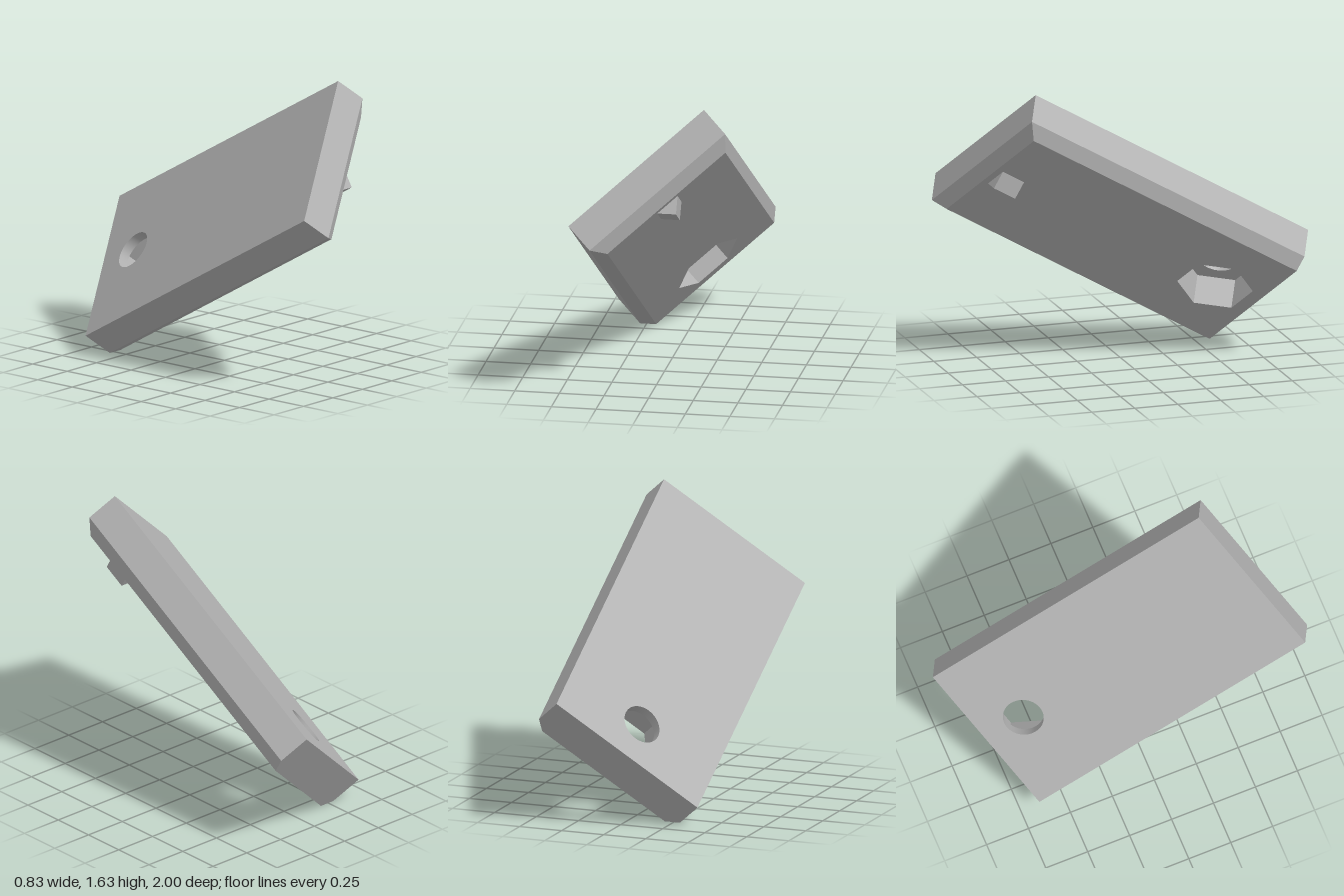
import * as THREE from 'three';
import { mergeGeometries, toCreasedNormals } from 'three/addons/utils/BufferGeometryUtils.js';

// Slab sizes: half width, half length, and depths measured from the round-hole side
const HW = 0.493, HL = 0.915, FLOOR = 0.058, SHOULDER = 0.184, THICK = 0.248, CHAMFER = 0.064;
const HOLE_Y = -0.659;

const rectLoop = (x, y0, y1) => [[-x, y0], [x, y0], [x, y1], [-x, y1]].map(p => new THREE.Vector2(...p));

const ring = (radius, sides) => Array.from({ length: sides }, (_, i) => {
  const a = (i / sides) * Math.PI * 2;
  return new THREE.Vector2(radius * Math.cos(a), HOLE_Y + radius * Math.sin(a));
});

// Wall between two loops, facing outward (or inward for a hole)
function wall(low, z0, high, z1, inward = false) {
  const pos = [];
  low.forEach((a, i) => {
    const j = (i + 1) % low.length;
    const b = low[j], c = high[j], d = high[i];
    const A = [a.x, a.y, z0], B = [b.x, b.y, z0], C = [c.x, c.y, z1], D = [d.x, d.y, z1];
    pos.push(...(inward ? [A, C, B, A, D, C] : [A, B, C, A, C, D]).flat());
  });
  const g = new THREE.BufferGeometry();
  g.setAttribute('position', new THREE.Float32BufferAttribute(pos, 3));
  return g;
}

// Flat plate face with one hole, facing +z, or -z when flipped
function face(outline, hole, z, flip = false) {
  const shape = new THREE.Shape(outline);
  shape.holes.push(new THREE.Path(hole));
  const g = new THREE.ShapeGeometry(shape).toNonIndexed();
  g.deleteAttribute('uv');
  g.deleteAttribute('normal');
  const p = g.attributes.position;
  if (flip) {
    for (let i = 0; i < p.count; i += 3) {
      const x = p.getX(i), y = p.getY(i);
      p.setXY(i, p.getX(i + 1), p.getY(i + 1));
      p.setXY(i + 1, x, y);
    }
  }
  return g.translate(0, 0, z);
}

export function createModel() {
  const grey = new THREE.MeshStandardMaterial({ color: 0xb0b0b0 });
  grey.name = 'grey';

  const outer = rectLoop(HW, -HL, HL);
  const inset = rectLoop(HW - CHAMFER, -HL, HL - CHAMFER);
  const bore = ring(0.113, 48);
  const hex = ring(0.21, 6);

  // Slab chamfered on three edges, with a round bore opening into a hexagonal pocket
  const slabGeometry = toCreasedNormals(mergeGeometries([
    face(outer, bore, 0, true),
    wall(outer, 0, outer, SHOULDER),
    wall(outer, SHOULDER, inset, THICK),
    face(inset, hex, THICK),
    wall(hex, FLOOR, hex, THICK, true),
    face(hex, bore, FLOOR),
    wall(bore, 0, bore, FLOOR, true),
  ]), 0.4);
  const slab = new THREE.Mesh(slabGeometry, grey);
  slab.name = 'slab';

  // Small triangular ridge near the far end
  const profile = new THREE.Shape([[-0.074, 0], [0.074, 0], [0, 0.074]].map(p => new THREE.Vector2(...p)));
  const ridge = new THREE.Mesh(
    new THREE.ExtrudeGeometry(profile, { depth: 0.142, bevelEnabled: false }).rotateX(Math.PI / 2), grey);
  ridge.name = 'ridge';
  ridge.position.set(0, 0.8155, THICK);

  // Tilt: width, length and thickness directions of the plate
  const s = Math.SQRT1_2, c = Math.cos(Math.PI / 6);
  const plate = new THREE.Group();
  plate.name = 'plate';
  plate.add(slab, ridge);
  plate.quaternion.setFromRotationMatrix(new THREE.Matrix4().makeBasis(
    new THREE.Vector3(s, s * c, -s / 2),
    new THREE.Vector3(0, 0.5, c),
    new THREE.Vector3(s, -s * c, s / 2)));
  plate.position.set(-0.068, 0.873, -0.033);

  const model = new THREE.Group();
  model.name = 'model';
  model.add(plate);
  return model;
}
